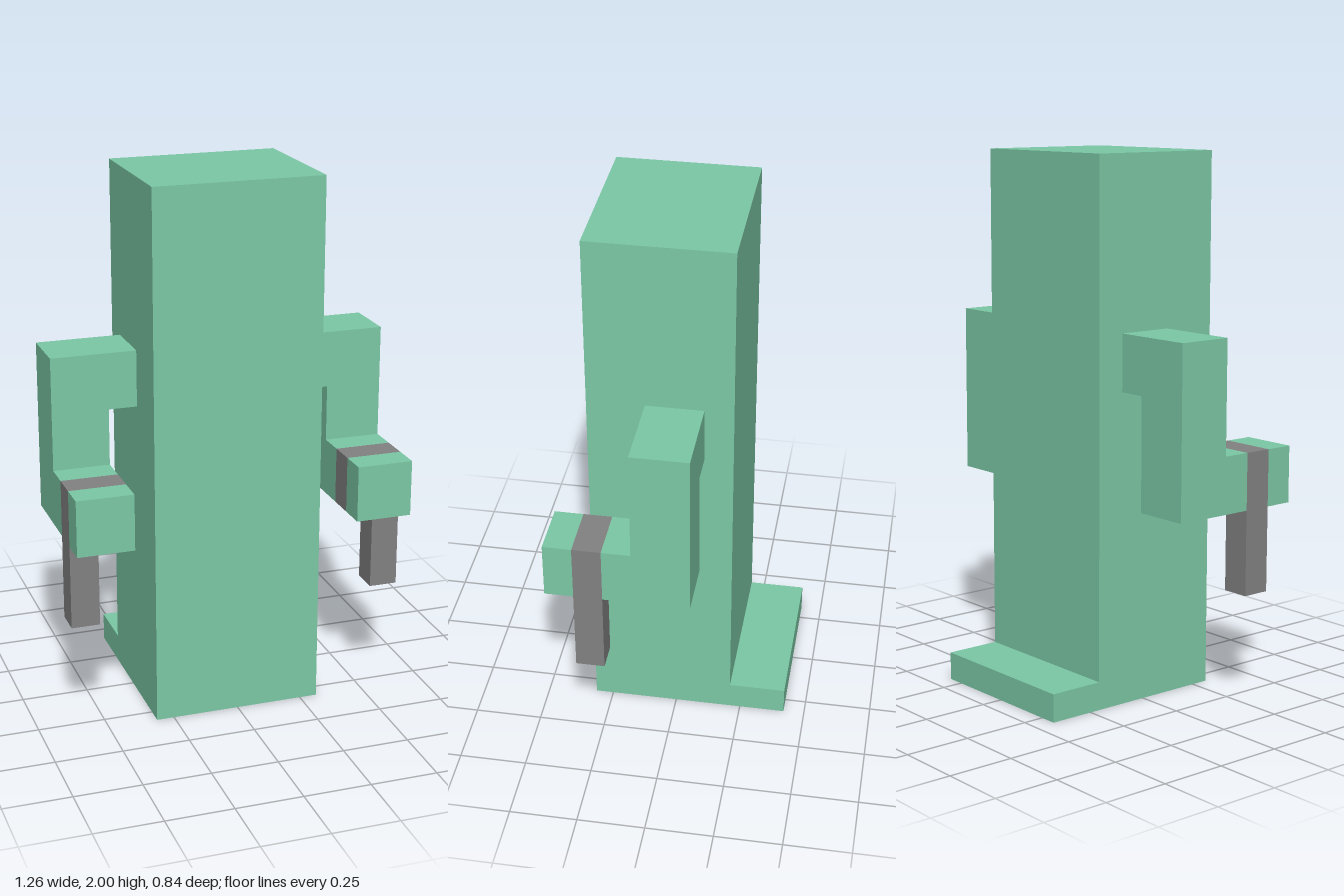
import * as THREE from 'three';

// One grid unit: the figure is 19 units tall
const U = 2 / 19;

const green = new THREE.MeshStandardMaterial({ color: 0x7cc9a6 });
green.name = 'cactus green';
const gray = new THREE.MeshStandardMaterial({ color: 0x838283 });
gray.name = 'strap gray';

function addMesh(parent, name, geometry, material) {
  const mesh = new THREE.Mesh(geometry.scale(U, U, U), material);
  mesh.name = name;
  parent.add(mesh);
}

// Box given by its low and high corners, in grid units
function block([x0, y0, z0], [x1, y1, z1]) {
  return new THREE.BoxGeometry(x1 - x0, y1 - y0, z1 - z0)
    .translate((x0 + x1) / 2, (y0 + y1) / 2, (z0 + z1) / 2);
}

// Flat outline extruded with sharp edges
function slab(points, depth) {
  const shape = new THREE.Shape(points.map(([x, y]) => new THREE.Vector2(x, y)));
  return new THREE.ExtrudeGeometry(shape, { depth, bevelEnabled: false });
}

function createArm(side) {
  const arm = new THREE.Group();
  arm.name = side > 0 ? 'leftArm' : 'rightArm';

  // Block mirrored to this arm's side
  const sided = (x0, y0, z0, x1, y1, z1) => {
    const xs = [x0 * side, x1 * side].sort((a, b) => a - b);
    return block([xs[0], y0, z0], [xs[1], y1, z1]);
  };

  // Shoulder and upper arm as one bent outline
  const bend = [[3, 13], [3, 11], [4, 11], [4, 7], [6, 7], [6, 13]];
  addMesh(arm, 'upperArm', slab(bend.map(([x, y]) => [x * side, y]), 2).translate(0, 0, -1), green);

  // Forearm reaching forward, with a gray band before the fist
  addMesh(arm, 'forearm', sided(4, 7, 1, 6, 9, 2), green);
  addMesh(arm, 'band', sided(4, 7, 2, 6, 9, 3), gray);
  addMesh(arm, 'fist', sided(4, 7, 3, 6, 9, 4), green);

  // Strip hanging from the outer half of the band
  addMesh(arm, 'hangingStrip', sided(5, 4, 2, 6, 7, 3), gray);
  return arm;
}

export function createModel() {
  const model = new THREE.Group();
  model.name = 'figure';

  // Tall body with a low ledge behind, drawn from the side and extruded across
  const profile = [[-4, 0], [3, 0], [3, 19], [-2, 19], [-2, 1], [-4, 1]];
  addMesh(model, 'body', slab(profile, 6).rotateY(-Math.PI / 2).translate(3, 0, 0), green);

  for (const side of [1, -1]) model.add(createArm(side));
  return model;
}
